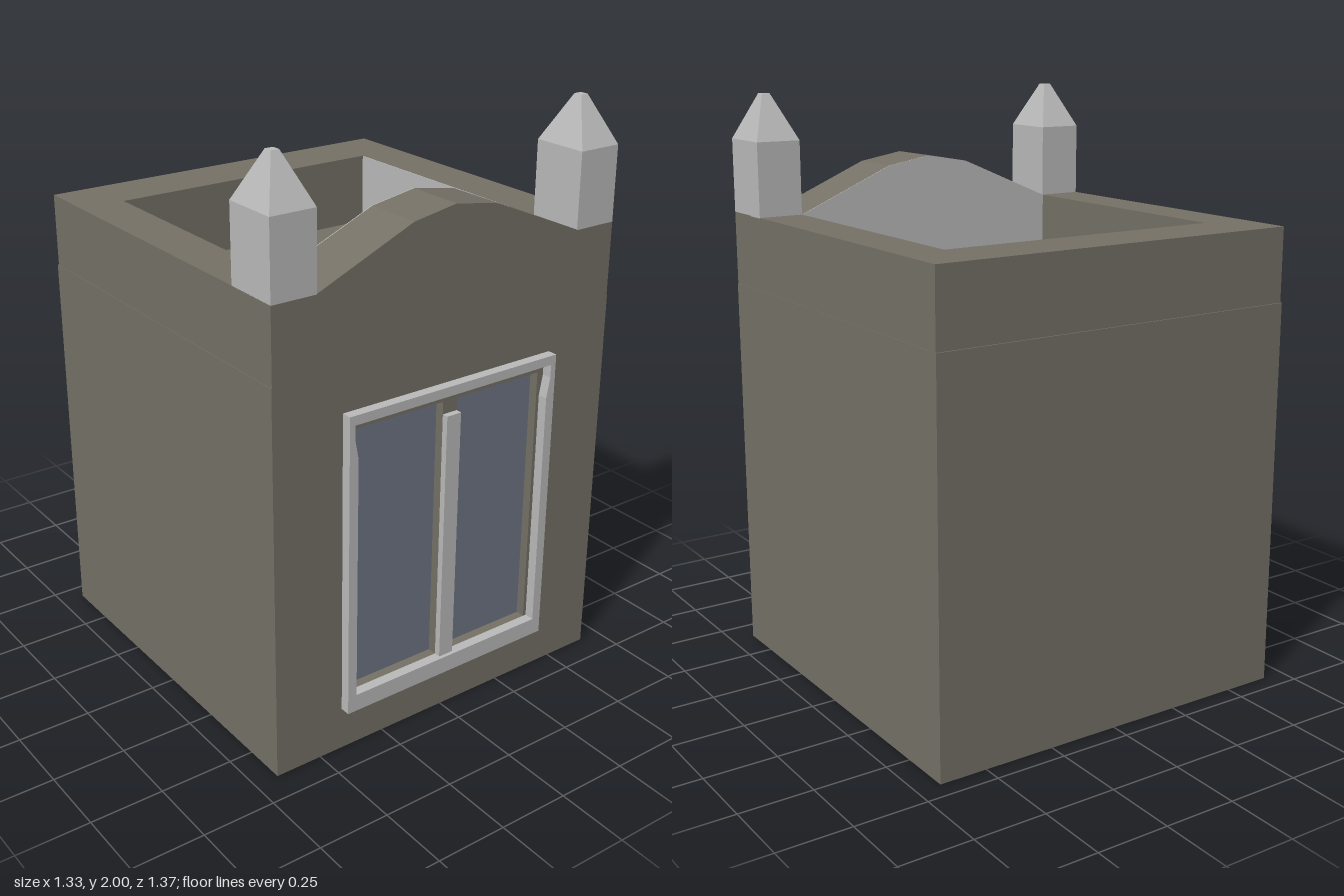
import * as THREE from 'three';

const stone = new THREE.MeshStandardMaterial({ color: 0x757166 });
stone.name = 'brown stone';
const trim = new THREE.MeshStandardMaterial({ color: 0xbababa });
trim.name = 'pale grey trim';
const glass = new THREE.MeshStandardMaterial({ color: 0x6e7585 });
glass.name = 'blue grey glass';

// Box given by its minimum and maximum corners
function box(parent, name, mat, [x0, y0, z0], [x1, y1, z1]) {
  const mesh = new THREE.Mesh(new THREE.BoxGeometry(x1 - x0, y1 - y0, z1 - z0), mat);
  mesh.position.set((x0 + x1) / 2, (y0 + y1) / 2, (z0 + z1) / 2);
  mesh.name = name;
  parent.add(mesh);
  return mesh;
}

// Outline in x and y, with optional holes, extruded from z0 to z1
function slab(parent, name, mat, points, holes, z0, z1) {
  const toVectors = (list) => list.map(([x, y]) => new THREE.Vector2(x, y));
  const shape = new THREE.Shape(toVectors(points));
  holes.forEach((h) => shape.holes.push(new THREE.Path(toVectors(h))));
  const geo = new THREE.ExtrudeGeometry(shape, { depth: z1 - z0, bevelEnabled: false });
  geo.translate(0, 0, z0);
  const mesh = new THREE.Mesh(geo, mat);
  mesh.name = name;
  parent.add(mesh);
  return mesh;
}

const rect = (x0, y0, x1, y1) => [[x0, y0], [x1, y0], [x1, y1], [x0, y1]];

// Square post with a blunt pyramid cap
function pinnacle(parent, name, x) {
  const group = new THREE.Group();
  group.name = name;
  box(group, 'pinnacleShaft', trim, [-0.079, 1.59, -0.1], [0.079, 1.845, 0.1]);
  const capGeo = new THREE.BoxGeometry(0.158, 0.155, 0.2);
  const pos = capGeo.attributes.position;
  for (let i = 0; i < pos.count; i++) {
    if (pos.getY(i) > 0) {
      pos.setX(i, Math.sign(pos.getX(i)) * 0.014);
      pos.setZ(i, Math.sign(pos.getZ(i)) * 0.015);
    }
  }
  capGeo.computeVertexNormals();
  const cap = new THREE.Mesh(capGeo, trim);
  cap.position.y = 1.9225;
  cap.name = 'pinnacleCap';
  group.add(cap);
  group.position.set(x, 0, 0.55);
  parent.add(group);
}

export function createModel() {
  const model = new THREE.Group();
  model.name = 'smallBuilding';
  const W = 0.667, U = 0.665, IN = 0.507;
  const FLOOR = 1.34, RIM = 1.592, FRONT = 0.65;

  // Main block, with a front wall cut for the two panes
  box(model, 'mainBlock', stone, [-W, 0, -0.685], [W, FLOOR, 0.61]);
  const panes = [-1, 1].map((s) => {
    const a = s * 0.028, b = s * 0.37;
    return [Math.min(a, b), Math.max(a, b)];
  });
  slab(model, 'frontWall', stone, rect(-W, 0, W, FLOOR),
    panes.map(([a, b]) => rect(a, 0.21, b, 1.133)), 0.61, FRONT);

  // Parapet around the sunken roof
  box(model, 'backParapet', stone, [-U, FLOOR, -0.68], [U, RIM, -0.475]);
  for (const s of [-1, 1]) {
    box(model, s > 0 ? 'leftParapet' : 'rightParapet', stone,
      [s > 0 ? IN : -U, FLOOR, -0.475], [s > 0 ? U : -IN, RIM, 0.45]);
  }

  // Curved front gable
  const crest = [[IN, RIM], [0.16, 1.74], [0, 1.767], [-0.16, 1.74], [-IN, RIM]];
  slab(model, 'gable', stone,
    [[-U, FLOOR], [U, FLOOR], [U, RIM], ...crest, [-U, RIM]], [], 0.45, FRONT);

  // Pale linings inside the roof recess
  slab(model, 'gableLining', trim, [[-IN, FLOOR], [IN, FLOOR], ...crest], [], 0.447, 0.45);
  box(model, 'leftParapetLining', trim, [IN - 0.003, FLOOR, -0.475], [IN, RIM - 0.001, 0.447]);

  // Corner pinnacles
  pinnacle(model, 'leftPinnacle', 0.586);
  pinnacle(model, 'rightPinnacle', -0.586);

  // Window: panes, raised surround and centre bar
  const win = new THREE.Group();
  win.name = 'window';
  panes.forEach(([a, b], i) =>
    box(win, i ? 'leftPane' : 'rightPane', glass, [a, 0.21, 0.61], [b, 1.133, 0.618]));
  slab(win, 'windowSurround', trim, rect(-0.415, 0.15, 0.415, 1.197), [[
    [-0.382, 0.21], [0.382, 0.21], [0.382, 1.05], [0.395, 1.12], [0.395, 1.165],
    [-0.395, 1.165], [-0.395, 1.12], [-0.382, 1.05],
  ]], FRONT, 0.685);
  box(win, 'centreBar', trim, [-0.028, 0.21, FRONT], [0.028, 1.09, 0.672]);
  model.add(win);

  return model;
}
